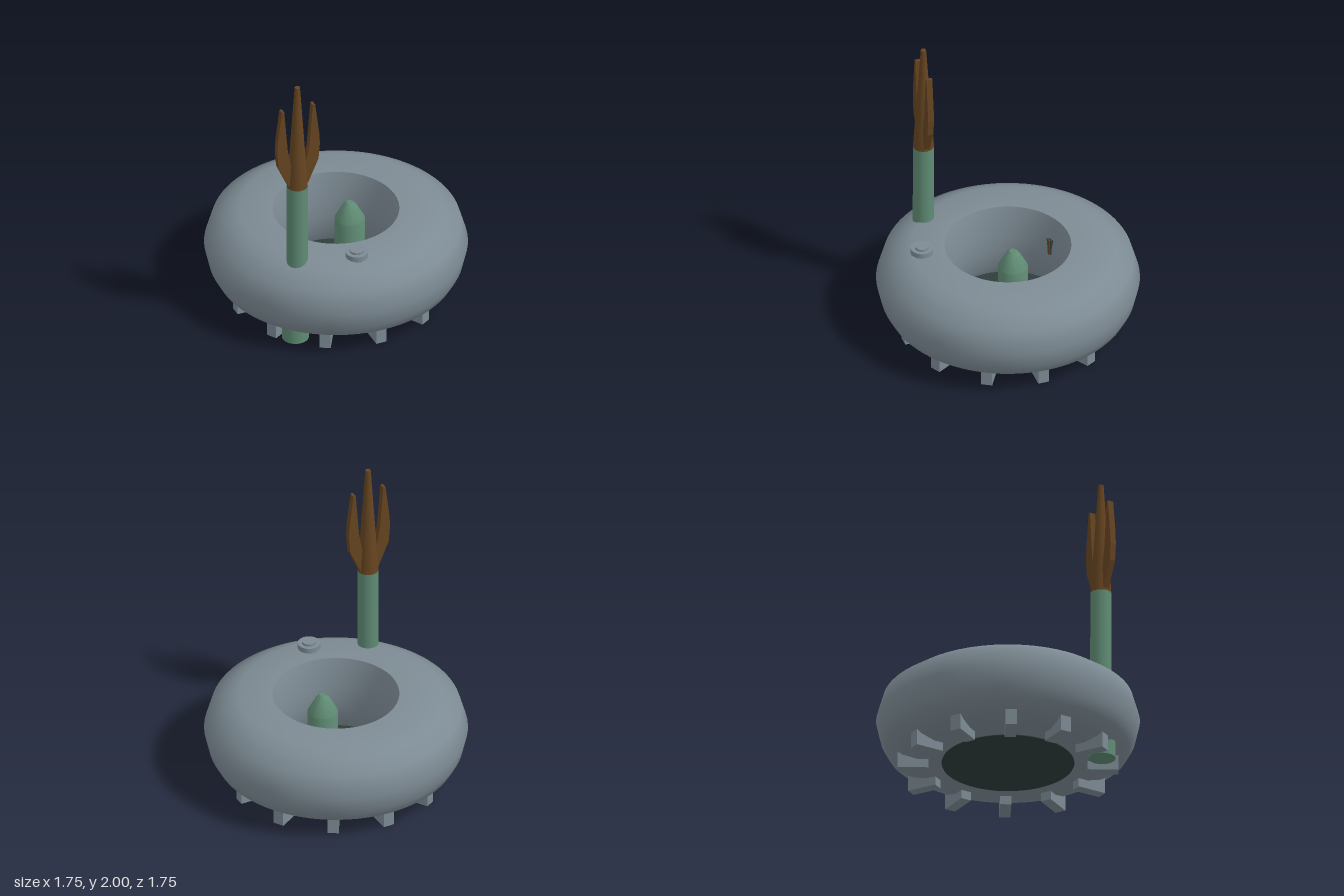
import * as THREE from 'three';
import { toCreasedNormals } from 'three/addons/utils/BufferGeometryUtils.js';

const paint = (name, color) => {
  const m = new THREE.MeshStandardMaterial({ color });
  m.name = name;
  return m;
};

export function createModel() {
  const model = new THREE.Group();
  model.name = 'ringBase';
  const grey = paint('slateGrey', 0x7d8b94);
  const green = paint('dullGreen', 0x5f8b74);
  const brown = paint('darkBrown', 0x654420);
  const dark = paint('deepGreen', 0x2f3d3c);

  const add = (name, geometry, material, x = 0, y = 0, z = 0, parent = model) => {
    const mesh = new THREE.Mesh(geometry, material);
    mesh.name = name;
    mesh.position.set(x, y, z);
    parent.add(mesh);
    return mesh;
  };
  const lathe = (pts, sides, crease = 0.8) => toCreasedNormals(
    new THREE.LatheGeometry(pts.map(([r, y]) => new THREE.Vector2(r, y)), sides), crease);
  // Upright cylinder given by its bottom and top heights
  const post = (name, rTop, rBottom, y0, y1, material, x, z, sides = 32) =>
    add(name, new THREE.CylinderGeometry(rTop, rBottom, y1 - y0, sides), material, x, (y0 + y1) / 2, z);

  // Thick ring body, closed around its hole
  add('ringBody', lathe([
    [0.44, 0.06], [0.6, 0.06], [0.7, 0.09], [0.805, 0.155], [0.845, 0.23], [0.875, 0.36],
    [0.83, 0.515], [0.72, 0.588], [0.64, 0.625], [0.42, 0.625], [0.403, 0.57],
    [0.375, 0.42], [0.37, 0.3], [0.39, 0.16], [0.44, 0.06],
  ], 80), grey);

  // Floor of the well
  post('wellFloor', 0.44, 0.44, 0.055, 0.085, dark, 0, 0, 64);

  // Twelve radial feet
  const feet = new THREE.Group();
  feet.name = 'feet';
  model.add(feet);
  const footGeometry = new THREE.BoxGeometry(0.075, 0.11, 0.205);
  for (let i = 0; i < 12; i++) {
    const a = i * Math.PI / 6;
    const foot = add('foot', footGeometry, grey, Math.sin(a) * 0.63, 0.055, Math.cos(a) * 0.63, feet);
    foot.rotation.y = a;
  }

  // Bullet-shaped core in the well
  add('core', lathe([[0.1, 0.08], [0.1, 0.52], [0.047, 0.62], [0.022, 0.645], [0, 0.645]], 32, 0.5),
    green, 0.1, 0, 0);

  // Pole through the ring, with its wider foot
  const px = -0.476, pz = 0.43;
  post('poleFoot', 0.09, 0.09, 0, 0.3, green, -0.49, pz);
  post('pole', 0.07, 0.072, 0.25, 1.21, green, px, pz);

  // Three-pronged head
  post('centreProng', 0.018, 0.07, 1.21, 2, brown, px, pz, 24);
  for (const side of [-1, 1]) {
    const outline = [
      [0.03, 1.22], [0.07, 1.23], [0.145, 1.4], [0.155, 1.52], [0.15, 1.61], [0.121, 1.84],
      [0.104, 1.84], [0.088, 1.64], [0.078, 1.52], [0.055, 1.4], [0.03, 1.33],
    ].map(([x, y]) => new THREE.Vector2(x * side, y));
    const prong = new THREE.ExtrudeGeometry(new THREE.Shape(outline), { depth: 0.042, bevelEnabled: false });
    add('sideProng', prong, brown, px, 0, pz - 0.021);
  }

  // Button on top of the ring
  post('buttonBase', 0.075, 0.075, 0.6, 0.662, grey, -0.105, 0.567);
  post('buttonCap', 0.047, 0.047, 0.65, 0.677, grey, -0.105, 0.567);

  // Small latch on the wall of the well
  add('latchBlock', new THREE.BoxGeometry(0.075, 0.11, 0.055), dark, -0.168, 0.42, -0.37);
  add('latchPlate', new THREE.BoxGeometry(0.09, 0.11, 0.009), brown, -0.185, 0.415, -0.338);

  return model;
}
